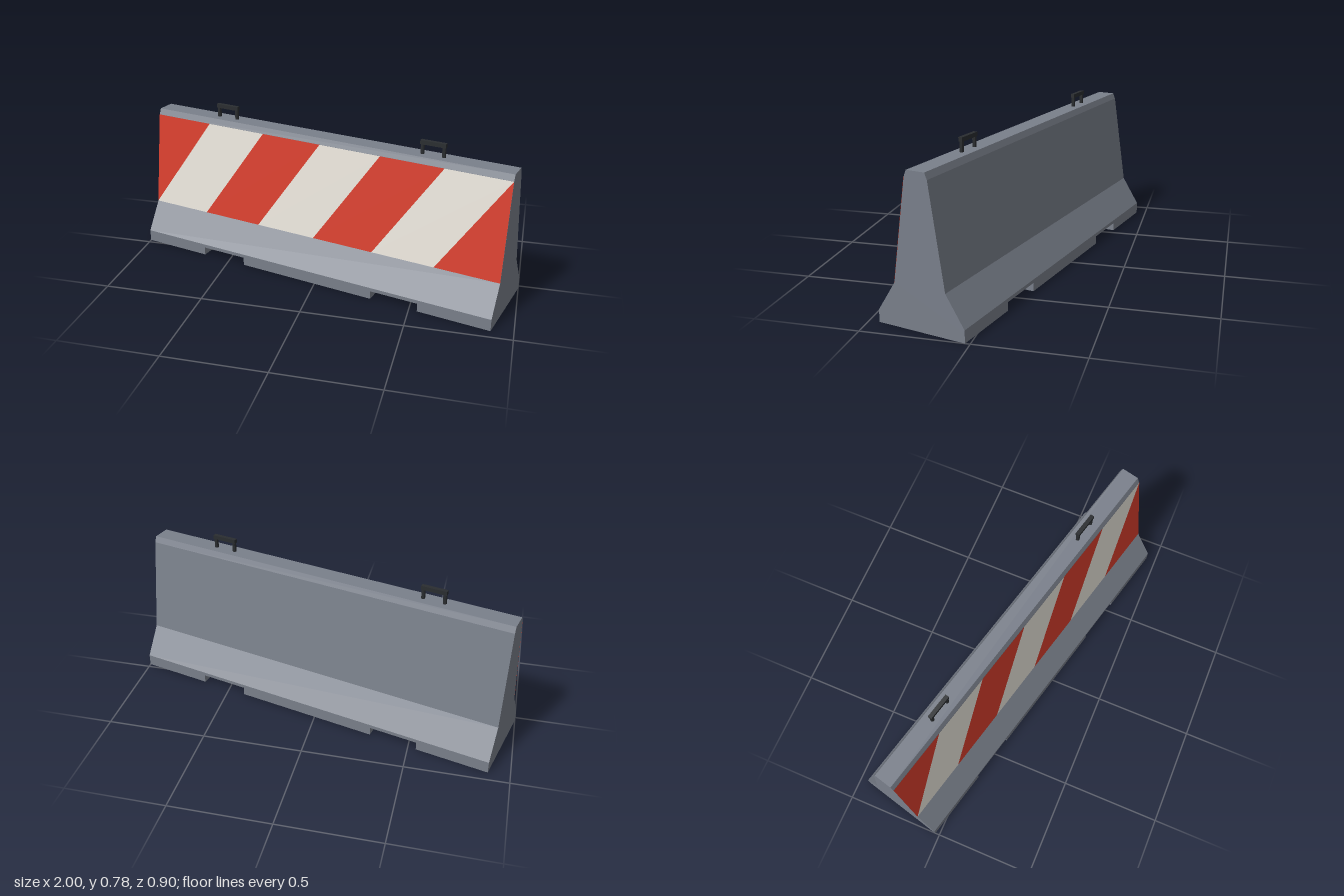
import * as THREE from 'three';

const LENGTH = 1.953, ANGLE = THREE.MathUtils.degToRad(14);
const NOTCH_IN = 0.366, NOTCH_OUT = 0.612, NOTCH_H = 0.042;
// right half of the cross-section: [half depth, height]
const PROFILE = [[0.22, NOTCH_H], [0.22, 0.06], [0.129, 0.205], [0.057, 0.685], [0.045, 0.715]];

export function createModel() {
  const group = new THREE.Group();
  group.name = 'roadBarrier';
  const paint = (color, extra) => new THREE.MeshStandardMaterial({ color, flatShading: true, ...extra });
  const concrete = paint(0x7a808b);
  const metal = paint(0x2a2d30);
  const red = paint(0xd63d2b, { side: THREE.DoubleSide });
  const white = paint(0xe8e3da, { side: THREE.DoubleSide });

  const add = (name, geometry, material, x = 0, y = 0, z = 0, parent = group) => {
    const mesh = new THREE.Mesh(geometry, material);
    mesh.name = name;
    mesh.position.set(x, y, z);
    parent.add(mesh);
    return mesh;
  };

  // body: mirrored profile swept along the length
  const outline = [...PROFILE, ...PROFILE.map(([d, y]) => [-d, y]).reverse()];
  const body = new THREE.ExtrudeGeometry(
    new THREE.Shape(outline.map(([d, y]) => new THREE.Vector2(d, y))),
    { depth: LENGTH, bevelEnabled: false });
  body.translate(0, 0, -LENGTH / 2).rotateY(Math.PI / 2);
  add('body', body, concrete);

  // feet, leaving two lifting slots between them
  const feet = [[-LENGTH / 2, -NOTCH_OUT], [-NOTCH_IN, NOTCH_IN], [NOTCH_OUT, LENGTH / 2]];
  for (const [a, b] of feet) {
    add('foot', new THREE.BoxGeometry(b - a, NOTCH_H, 0.44), concrete, (a + b) / 2, NOTCH_H / 2, 0);
  }

  // slanted warning stripes lying on the sloped front face
  const [[zLow, yLow], [zHigh, yHigh]] = [PROFILE[2], PROFILE[3]];
  const step = LENGTH / 6, lift = 0.0015;
  const clampX = (x) => THREE.MathUtils.clamp(x, -LENGTH / 2, LENGTH / 2);
  for (let i = -1; i < 6; i++) {
    const x = -LENGTH / 2 + i * step;
    const low = (px) => [clampX(px), yLow, zLow + lift];
    const high = (px) => [clampX(px), yHigh, zHigh + lift];
    const a = low(x), b = low(x + step), c = high(x + 2 * step), d = high(x + step);
    const stripe = new THREE.BufferGeometry();
    stripe.setAttribute('position', new THREE.Float32BufferAttribute([a, b, c, a, c, d].flat(), 3));
    stripe.computeVertexNormals();
    add('stripe', stripe, i % 2 ? red : white);
  }

  // lifting handles on top
  for (const x of [-0.57, 0.57]) {
    const handle = new THREE.Group();
    handle.name = 'handle';
    handle.position.set(x, 0.715, 0);
    group.add(handle);
    add('handleBar', new THREE.BoxGeometry(0.127, 0.02, 0.02), metal, 0, 0.058, 0, handle);
    for (const s of [-1, 1]) {
      add('handlePost', new THREE.CylinderGeometry(0.01, 0.01, 0.06, 8), metal, s * 0.0535, 0.023, 0, handle);
    }
  }

  group.rotation.y = -ANGLE;
  const root = new THREE.Group();
  root.name = 'barrier';
  root.add(group);
  return root;
}
